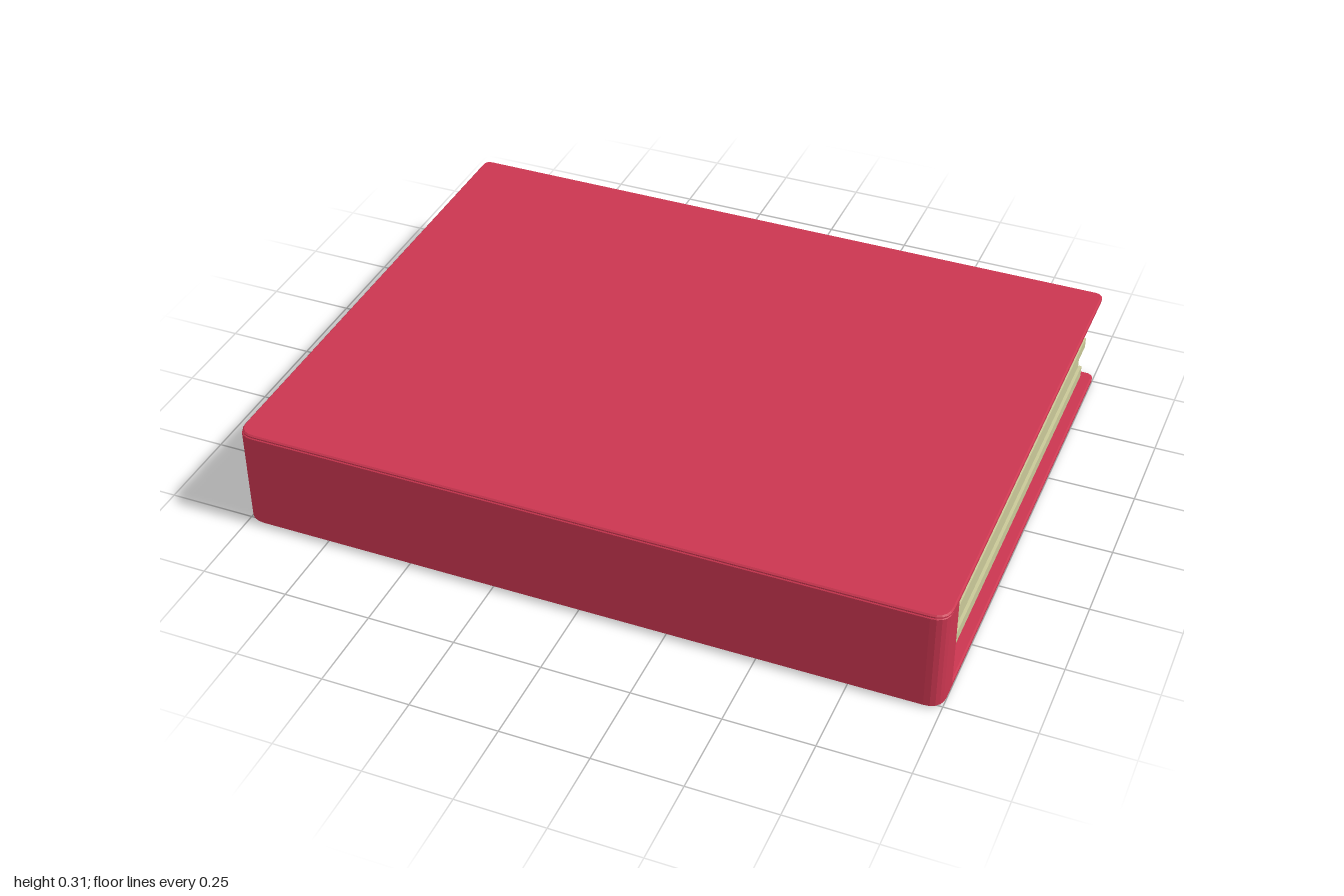
import * as THREE from 'three';

const red = new THREE.MeshStandardMaterial({ color: 0xcb3650 });
const paper = new THREE.MeshStandardMaterial({ color: 0xc9c898 });

// Flat plate with separate corner radii at the spine (front) and open (back) sides
function plate(name, zBack, zFront, y0, y1, rBack, rFront, bevel) {
  const w = 1 - bevel, b = -zFront + bevel, t = -zBack - bevel; // shape y = -z
  const s = new THREE.Shape();
  s.moveTo(-w + rFront, b);
  s.lineTo(w - rFront, b);
  s.quadraticCurveTo(w, b, w, b + rFront);
  s.lineTo(w, t - rBack);
  s.quadraticCurveTo(w, t, w - rBack, t);
  s.lineTo(-w + rBack, t);
  s.quadraticCurveTo(-w, t, -w, t - rBack);
  s.lineTo(-w, b + rFront);
  s.quadraticCurveTo(-w, b, -w + rFront, b);
  const geo = new THREE.ExtrudeGeometry(s, {
    depth: y1 - y0 - 2 * bevel, curveSegments: 5,
    bevelEnabled: true, bevelThickness: bevel, bevelSize: bevel, bevelSegments: 1,
  });
  geo.rotateX(-Math.PI / 2).translate(0, y0 + bevel, 0);
  const mesh = new THREE.Mesh(geo, red);
  mesh.name = name;
  return mesh;
}

export function createModel() {
  const book = new THREE.Group();
  book.name = 'book';

  // Hard covers and the solid spine between them
  book.add(plate('bottomCover', -0.765, 0.765, 0, 0.018, 0.02, 0.045, 0.004));
  book.add(plate('topCover', -0.765, 0.765, 0.288, 0.306, 0.02, 0.045, 0.004));
  book.add(plate('spine', 0.67, 0.768, 0.008, 0.298, 0.001, 0.045, 0.002));

  // Page bundles: bottom, top, side reach, back reach
  const pages = new THREE.Group();
  pages.name = 'pages';
  [
    [0.017, 0.054, 0.966, 0.739],
    [0.054, 0.121, 0.957, 0.732],
    [0.121, 0.153, 0.968, 0.744],
    [0.153, 0.190, 0.958, 0.733],
    [0.190, 0.251, 0.964, 0.738],
    [0.251, 0.289, 0.959, 0.733],
  ].forEach(([y0, y1, x, z], i) => {
    const geo = new THREE.BoxGeometry(2 * x, y1 - y0, z + 0.675);
    geo.translate(0, (y0 + y1) / 2, (0.675 - z) / 2);
    const bundle = new THREE.Mesh(geo, paper);
    bundle.name = `pageBundle${i + 1}`;
    pages.add(bundle);
  });
  book.add(pages);
  return book;
}
